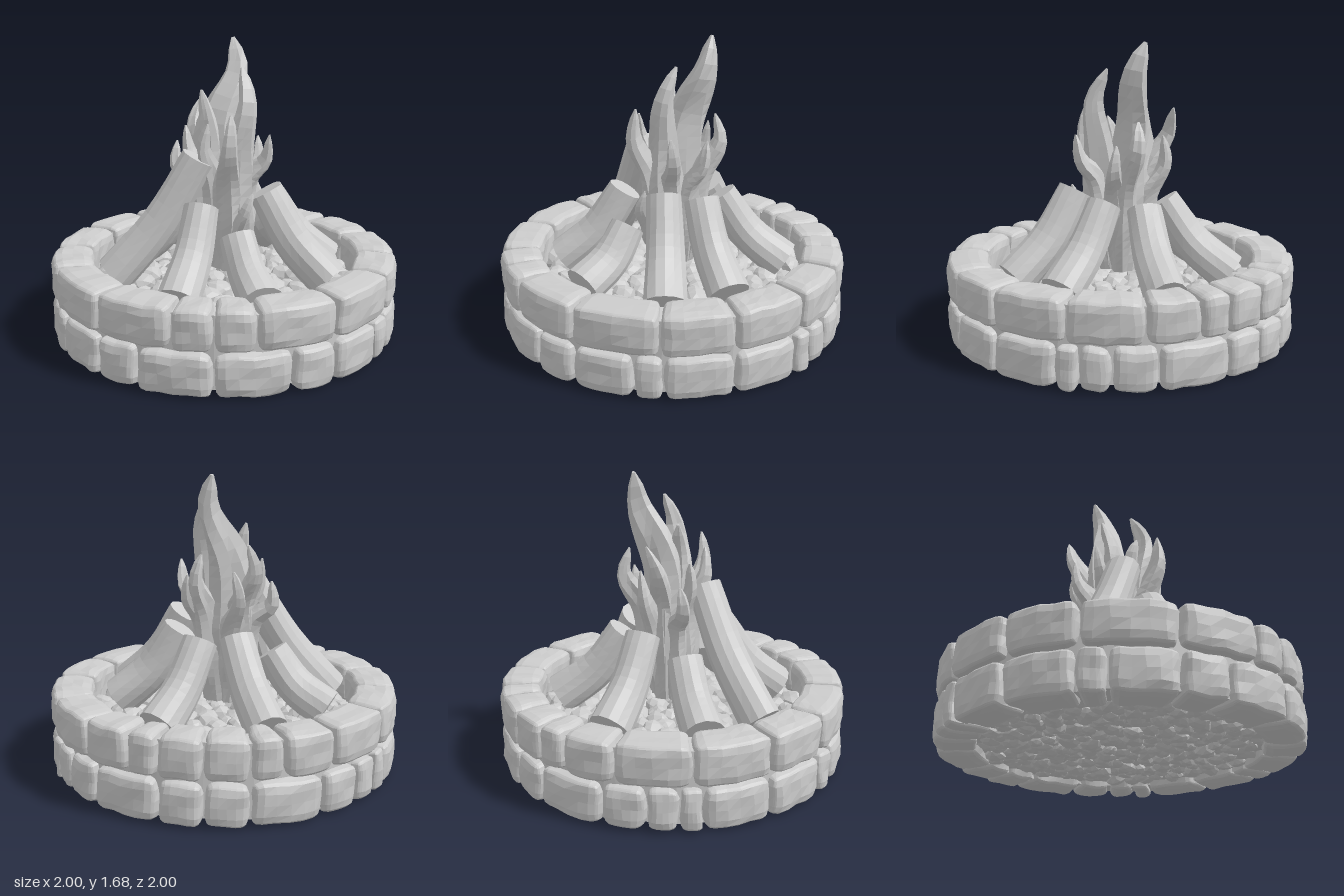
import * as THREE from 'three';
import { mergeGeometries } from 'three/addons/utils/BufferGeometryUtils.js';

const material = new THREE.MeshStandardMaterial({ color: 0xcccccc, flatShading: true });
const V = (x, y, z) => new THREE.Vector3(x, y, z);

let seed = 7;
const rand = () => (seed = (seed * 16807) % 2147483647) / 2147483647;

function part(name, geometry) {
  const mesh = new THREE.Mesh(geometry, material);
  mesh.name = name;
  return mesh;
}

// Move every vertex by a rule that edits the vector in place
function deform(geometry, rule) {
  const p = geometry.attributes.position;
  const v = new THREE.Vector3();
  for (let i = 0; i < p.count; i++) {
    v.fromBufferAttribute(p, i);
    rule(v, i);
    p.setXYZ(i, v.x, v.y, v.z);
  }
  geometry.computeVertexNormals();
  return geometry;
}

// Smooth hewn unevenness that depends only on position
function roughen(v, amount, f) {
  const { x, y, z } = v;
  v.x += amount * Math.sin(f * y + 1.7 * f * z);
  v.y += amount * Math.sin(f * z + 1.3 * f * x + 1);
  v.z += amount * Math.sin(f * x + 1.5 * f * y + 2);
}

// Rounded block bent around the ring between two angles measured from the front
function stone(a0, a1, y) {
  const mid = THREE.MathUtils.degToRad((a0 + a1) / 2);
  const w = THREE.MathUtils.degToRad(a1 - a0) * 0.88 - 0.006;
  const round = Math.min(0.052, w * 0.35);
  const half = V(w / 2, 0.117, 0.119);
  const core = half.clone().subScalar(round);
  const inner = V(0, 0, 0);
  return deform(new THREE.BoxGeometry(2, 2, 2, 8, 6, 6), (v) => {
    v.set(Math.sin(v.x * Math.PI / 2), Math.sin(v.y * Math.PI / 2), Math.sin(v.z * Math.PI / 2)).multiply(half);
    inner.copy(v).clamp(core.clone().negate(), core);
    v.sub(inner).setLength(round).add(inner);
    const a = mid + v.x / 0.88, r = 0.878 + v.z;
    v.set(Math.sin(a) * r, y + v.y, Math.cos(a) * r);
    roughen(v, 0.004, 23);
  });
}

// One course of stones, mirrored left and right
function course(angles, y) {
  const blocks = [];
  for (let i = 1; i < angles.length; i++) {
    blocks.push(stone(angles[i - 1], angles[i], y), stone(-angles[i], -angles[i - 1], y));
  }
  return mergeGeometries(blocks);
}

// Tube along points; radius(t, angle) shapes it and the outermost rings close it flat
function loft(points, rings, sides, radius) {
  const curve = new THREE.CatmullRomCurve3(points);
  const g = new THREE.TubeGeometry(curve, rings, 1, sides);
  return deform(g, (v, i) => {
    const ring = Math.floor(i / (sides + 1));
    const side = i % (sides + 1) % sides;
    const t = THREE.MathUtils.clamp((ring - 1) / (rings - 2), 0, 1);
    const r = ring === 0 || ring === rings ? 0 : radius(t, (side / sides) * Math.PI * 2);
    v.sub(curve.getPointAt(ring / rings)).multiplyScalar(r).add(curve.getPointAt(t));
  });
}

// Log bowed so that it lies flatter at the foot and steeper at the head
function log(foot, head, phase) {
  const a = V(...foot), b = V(...head);
  const mid = a.clone().lerp(b, 0.5);
  mid.y -= 0.035;
  mid.x *= 0.95;
  mid.z *= 0.95;
  return loft([a, mid, b], 10, 14, (t, s) =>
    0.118 - 0.02 * t + 0.004 * Math.sin(3 * s + phase + 4 * t));
}

// Ridged, twisting tongue of fire through a belly and a neck to a curled tip
function flame(belly, neck, tip, width, phase) {
  const base = V(belly[0] * 0.5, 0.38, belly[2] * 0.5);
  return loft([base, V(...belly), V(...neck), V(...tip)], 20, 10, (t, s) => {
    const swell = 0.6 + 0.4 * Math.min(1, t / 0.3);
    const taper = Math.pow(1 - Math.max(0, (t - 0.35) / 0.65), 0.6);
    const ridges = 1 + 0.2 * Math.cos(3 * s + phase + 5 * t) + 0.08 * Math.sin(2 * s + 14 * t);
    return width * (0.07 + 0.93 * swell * taper) * ridges;
  });
}

// Sunflower-spaced layer of faceted pebbles
function pebbles(count, y, size, flatness) {
  const list = [];
  for (let i = 0; i < count; i++) {
    const r = 0.74 * Math.sqrt((i + 0.5) / count), a = i * 2.39996;
    const s = size * (0.8 + 0.4 * rand());
    const g = new THREE.IcosahedronGeometry(s, 1);
    const k = rand() * 10;
    deform(g, (v) => {
      const n = 1 + 0.1 * Math.sin(v.x / s * 3 + k) + 0.08 * Math.sin(v.z / s * 4 + v.y / s * 3 + k);
      v.multiplyScalar(n);
      v.x *= 1.15;
      v.y *= flatness;
    });
    g.rotateZ((rand() - 0.5) * 0.5).rotateY(rand() * 6.28);
    g.translate(Math.cos(a) * r, y + (rand() - 0.5) * 0.03, Math.sin(a) * r);
    list.push(g);
  }
  return mergeGeometries(list);
}

export function createModel() {
  const model = new THREE.Group();
  model.name = 'campfire';

  // Stone ring, two courses with staggered joints and mortar between
  model.add(part('upperStones', course([0, 13, 39, 67, 90, 115, 139, 156, 166, 180], 0.365)));
  model.add(part('lowerStones', course([0, 24, 39, 59, 68, 90, 112, 119, 129, 143, 166, 180], 0.125)));
  const wall = [[0.8, 0.04], [0.94, 0.04], [0.94, 0.44], [0.8, 0.44], [0.8, 0.04]];
  const mortar = new THREE.LatheGeometry(wall.map(([x, y]) => new THREE.Vector2(x, y)), 48);
  model.add(part('mortarRing', deform(mortar, (v) => roughen(v, 0.006, 19))));

  // Bed of pebbles over a solid fill
  const fill = new THREE.CylinderGeometry(0.82, 0.82, 0.2, 40);
  fill.translate(0, 0.16, 0);
  model.add(part('bedFill', fill));
  model.add(part('topPebbles', pebbles(150, 0.285, 0.067, 0.9)));
  model.add(part('bottomPebbles', pebbles(230, 0.07, 0.052, 0.75)));

  // Leaning logs: foot, head
  const logs = [
    [[-0.21, 0.37, 0.60], [-0.11, 0.79, 0.25]],
    [[0.23, 0.37, 0.60], [0.09, 0.64, 0.30]],
    [[0.60, 0.38, 0.25], [0.24, 0.85, 0.13]],
    [[0.60, 0.38, -0.11], [0.24, 0.80, -0.09]],
    [[0.29, 0.38, -0.58], [0.10, 0.77, -0.26]],
    [[-0.29, 0.38, -0.57], [-0.09, 0.79, -0.24]],
    [[-0.60, 0.37, -0.17], [-0.28, 0.68, -0.09]],
    [[-0.61, 0.37, 0.20], [-0.14, 1.04, 0.12]],
  ];
  const logGroup = new THREE.Group();
  logGroup.name = 'logs';
  logs.forEach(([foot, head], i) => logGroup.add(part('log', log(foot, head, i * 1.3))));
  model.add(logGroup);

  // Flames: belly, neck, tip, width
  const flames = [
    [[-0.03, 1.20, -0.08], [0.07, 1.50, -0.17], [0.04, 1.68, -0.22], 0.14],
    [[0.08, 1.05, 0.08], [0.13, 1.35, 0.09], [0.10, 1.53, 0.01], 0.105],
    [[-0.06, 0.95, 0.00], [-0.08, 1.20, 0.00], [-0.13, 1.40, -0.04], 0.095],
    [[-0.10, 0.95, -0.12], [-0.19, 1.15, -0.20], [-0.16, 1.31, -0.26], 0.085],
    [[0.03, 0.90, 0.14], [0.04, 1.12, 0.24], [0.05, 1.30, 0.23], 0.085],
    [[0.14, 0.90, 0.06], [0.24, 1.02, 0.08], [0.26, 1.17, 0.10], 0.075],
    [[-0.17, 0.85, -0.07], [-0.28, 0.95, -0.10], [-0.28, 1.09, -0.12], 0.075],
    [[0.09, 0.90, -0.13], [0.13, 1.10, -0.24], [0.10, 1.25, -0.22], 0.085],
    [[-0.06, 0.92, 0.09], [-0.11, 1.10, 0.15], [-0.08, 1.24, 0.17], 0.08],
    [[0.09, 0.62, 0.16], [0.13, 0.75, 0.23], [0.17, 0.86, 0.22], 0.06],
    [[0.12, 0.85, -0.07], [0.19, 0.98, -0.12], [0.19, 1.12, -0.14], 0.075],
    [[-0.13, 0.90, 0.00], [-0.20, 1.05, 0.00], [-0.22, 1.20, -0.02], 0.07],
    [[-0.05, 0.80, -0.15], [-0.11, 1.00, -0.24], [-0.08, 1.16, -0.25], 0.07],
  ];
  const flameGroup = new THREE.Group();
  flameGroup.name = 'flames';
  flames.forEach((f, i) => flameGroup.add(part('flame', flame(...f, i * 1.9))));
  model.add(flameGroup);

  return model;
}
